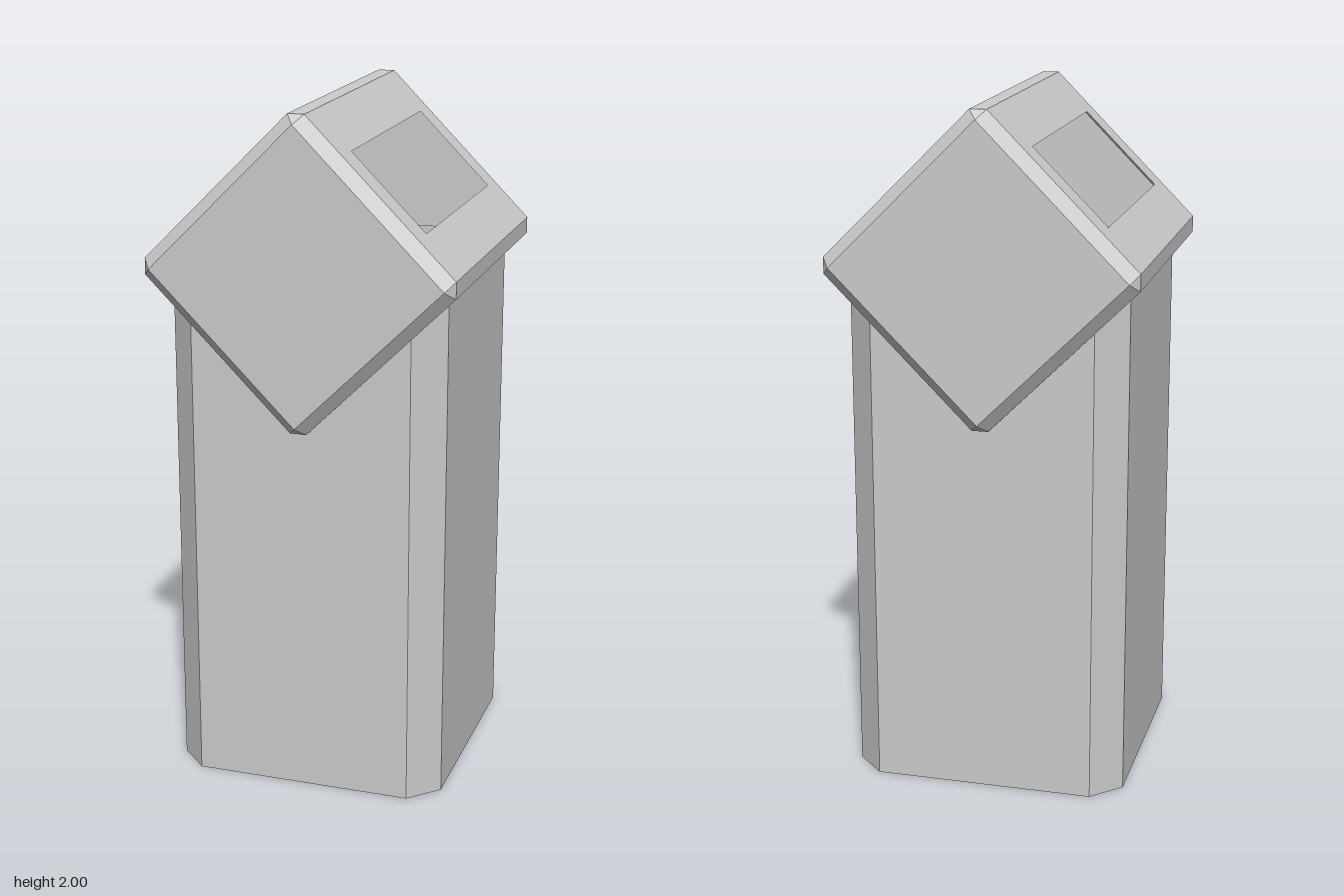
import * as THREE from 'three';

const material = new THREE.MeshStandardMaterial({
  color: 0xcccccc, flatShading: true, side: THREE.DoubleSide,
});

// Square with half size h whose corners are cut back to c, at depth z (8 points, counter-clockwise)
const ring = (h, c, z) =>
  [[h, -c], [h, c], [c, h], [-c, h], [-h, c], [-h, -c], [-c, -h], [c, -h]]
    .map(([x, y]) => new THREE.Vector3(x, y, z));

// Skins successive rings; skip(section, side) leaves a side open
function loft(rings, skip = () => false) {
  const points = [];
  const addTriangle = (a, b, c) => {
    if (new THREE.Triangle(a, b, c).getArea() > 1e-7) points.push(a, b, c);
  };
  for (let s = 0; s < rings.length - 1; s++) {
    for (let i = 0; i < 8; i++) {
      if (skip(s, i)) continue;
      const j = (i + 1) % 8, a = rings[s], b = rings[s + 1];
      addTriangle(a[i], a[j], b[j]);
      addTriangle(a[i], b[j], b[i]);
    }
  }
  const geometry = new THREE.BufferGeometry().setFromPoints(points);
  geometry.computeVertexNormals();
  return geometry;
}

function rectangle(path, w, h) {
  path.moveTo(-w, -h);
  path.lineTo(w, -h);
  path.lineTo(w, h);
  path.lineTo(-w, h);
  path.closePath();
  return path;
}

function addMesh(parent, name, geometry) {
  const mesh = new THREE.Mesh(geometry, material);
  mesh.name = name;
  parent.add(mesh);
  return mesh;
}

export function createModel() {
  const model = new THREE.Group();
  model.name = 'litterBin';

  // Hollow column with chamfered corners, closed at the bottom and open inside the hood
  const body = loft([ring(0, 0, 0), ring(0.405, 0.322, 0), ring(0.405, 0.322, 1.53)]);
  addMesh(model, 'body', body.rotateX(-Math.PI / 2));

  // Chamfered box hood turned on its edge
  const H = 0.335, C = 0.301, Z = 0.453, ZC = 0.419;
  const hood = new THREE.Group();
  hood.name = 'hood';
  hood.position.y = 1.55;
  hood.rotation.z = Math.PI / 4;
  model.add(hood);

  const rings = [
    ring(0, 0, -Z), ring(C, C, -Z), ring(H, C, -ZC),
    ring(H, C, ZC), ring(C, C, Z), ring(0, 0, Z),
  ];
  addMesh(hood, 'hoodShell', loft(rings, (s, i) => s === 2 && (i === 0 || i === 2)));

  // The two upper slopes, each with a slot opening
  const slope = rectangle(new THREE.Shape(), ZC, C);
  slope.holes.push(rectangle(new THREE.Path(), 0.34, 0.15));
  ['leftSlope', 'rightSlope'].forEach((name, k) => {
    const panel = new THREE.ShapeGeometry(slope)
      .rotateY(Math.PI / 2).translate(H, 0, 0).rotateZ(k * Math.PI / 2);
    addMesh(hood, name, panel);
  });

  return model;
}
